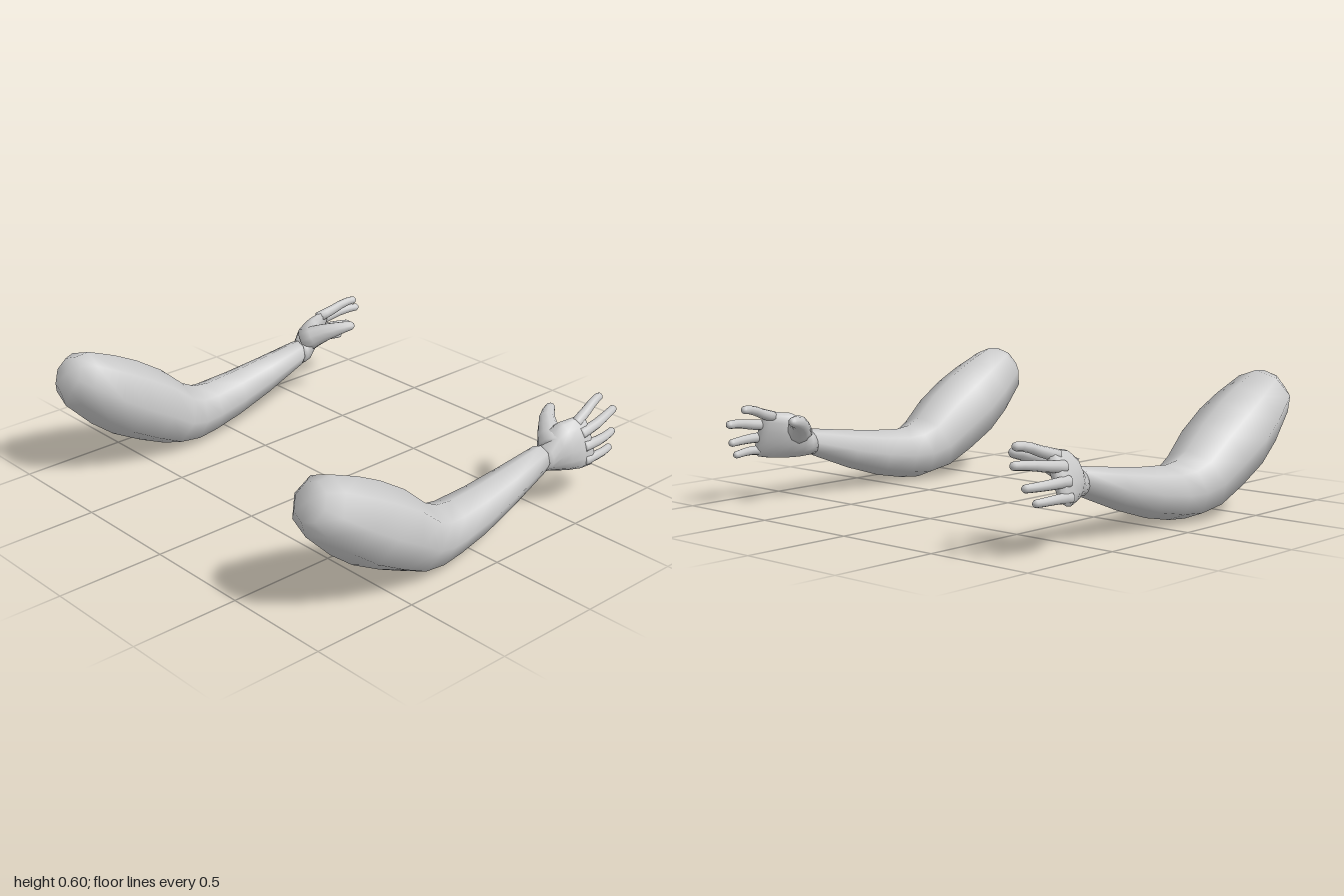
import * as THREE from 'three';

const material = new THREE.MeshStandardMaterial({ color: 0xcccccc });
const V = (x, y, z) => new THREE.Vector3(x, y, z);

// Skin over sections {c, u, v}: ellipses with centre c and half axes u, v.
// start and end are the pole points that close both ends.
function loft(sections, n, start, end, side) {
  const pts = [start];
  for (const { c, u, v } of sections)
    for (let i = 0; i < n; i++) {
      const a = (i / n) * Math.PI * 2;
      pts.push(c.clone().addScaledVector(u, Math.cos(a)).addScaledVector(v, Math.sin(a)));
    }
  pts.push(end);
  const tris = [], last = pts.length - 1, m = sections.length;
  for (let i = 0; i < n; i++) {
    const j = (i + 1) % n;
    tris.push([0, 1 + j, 1 + i]);
    for (let k = 0; k < m - 1; k++) {
      const a = 1 + k * n + i, b = 1 + k * n + j;
      tris.push([a, b, a + n], [b, b + n, a + n]);
    }
    tris.push([last, last - n + i, last - n + j]);
  }
  // Mirror to the chosen side, then turn the faces outwards
  pts.forEach((p) => { p.x *= side; });
  let volume = 0;
  for (const [a, b, c] of tris) volume += pts[a].dot(pts[b].clone().cross(pts[c]));
  if (volume < 0) tris.forEach((t) => t.reverse());
  const geo = new THREE.BufferGeometry().setFromPoints(pts);
  geo.setIndex(tris.flat());
  geo.computeVertexNormals();
  return geo;
}

// Tapered round-tipped digit along a curve
function digit(path, r0, r1, side) {
  const curve = new THREE.CatmullRomCurve3(path.map((p) => V(...p)));
  const length = curve.getLength(), tip = r1 / length;
  const stops = [0, 0.2, 0.4, 0.6, 0.8, 1 - tip, 1 - tip * 0.5, 1 - tip * 0.13].sort((a, b) => a - b);
  const sections = stops.map((t) => {
    const d = curve.getTangentAt(t);
    const over = Math.max(0, (t - 1 + tip) / tip);
    const r = THREE.MathUtils.lerp(r0, r1, t) * Math.sqrt(1 - over * over);
    const u = V(0, 1, 0).addScaledVector(d, -d.y).normalize();
    const v = d.clone().cross(u);
    return { c: curve.getPointAt(t), u: u.multiplyScalar(r), v: v.multiplyScalar(r) };
  });
  return loft(sections, 10, curve.getPointAt(0), curve.getPointAt(1), side);
}

// Arm sections: top z, y, bottom z, y, half width, centre x
const ARM = [
  [0.826, 0.6, 0.914, 0.452, 0.085, 0.812],
  [0.757, 0.605, 0.894, 0.383, 0.142, 0.812],
  [0.62, 0.55, 0.767, 0.255, 0.173, 0.812],
  [0.5, 0.49, 0.65, 0.165, 0.188, 0.812],
  [0.364, 0.403, 0.5, 0.085, 0.182, 0.812],
  [0.246, 0.3, 0.364, 0.025, 0.163, 0.812],
  [0.177, 0.265, 0.236, 0.004, 0.143, 0.812],
  [0.093, 0.255, 0.118, 0.015, 0.128, 0.812],
  [-0.07, 0.267, -0.04, 0.046, 0.11, 0.812],
  [-0.265, 0.29, -0.235, 0.106, 0.088, 0.808],
  [-0.475, 0.318, -0.46, 0.192, 0.062, 0.803],
];

// Palm sections: z, top x, y, bottom x, y, half thickness
const PALM = [
  [-0.465, 0.803, 0.308, 0.805, 0.196, 0.054],
  [-0.495, 0.803, 0.315, 0.812, 0.195, 0.058],
  [-0.535, 0.8, 0.375, 0.838, 0.19, 0.066],
  [-0.58, 0.81, 0.4, 0.868, 0.187, 0.058],
  [-0.635, 0.825, 0.407, 0.9, 0.19, 0.044],
  [-0.685, 0.838, 0.412, 0.918, 0.2, 0.03],
  [-0.705, 0.842, 0.4, 0.915, 0.215, 0.018],
];

// Digits: path points, root radius, tip radius
const DIGITS = {
  indexFinger: [[[0.846, 0.385, -0.65], [0.828, 0.412, -0.74], [0.816, 0.434, -0.8], [0.802, 0.44, -0.865]], 0.026, 0.018],
  middleFinger: [[[0.878, 0.345, -0.65], [0.875, 0.357, -0.75], [0.862, 0.371, -0.84], [0.84, 0.375, -0.92]], 0.026, 0.018],
  ringFinger: [[[0.9, 0.291, -0.65], [0.9, 0.29, -0.75], [0.888, 0.288, -0.82], [0.868, 0.286, -0.885]], 0.025, 0.017],
  littleFinger: [[[0.91, 0.228, -0.65], [0.914, 0.232, -0.74], [0.902, 0.228, -0.8], [0.888, 0.226, -0.845]], 0.023, 0.016],
  thumb: [[[0.815, 0.3, -0.53], [0.765, 0.335, -0.57], [0.712, 0.362, -0.615], [0.675, 0.378, -0.665], [0.648, 0.385, -0.715]], 0.064, 0.019],
};

function buildArm(side) {
  const arm = new THREE.Group();
  arm.name = side > 0 ? 'leftArm' : 'rightArm';
  const add = (name, geo) => {
    const mesh = new THREE.Mesh(geo, material);
    mesh.name = name;
    arm.add(mesh);
  };

  // Upper arm, elbow and forearm in one skin
  const armSections = ARM.map(([tz, ty, bz, by, w, x]) => ({
    c: V(x, (ty + by) / 2, (tz + bz) / 2),
    u: V(0, (ty - by) / 2, (tz - bz) / 2),
    v: V(w, 0, 0),
  }));
  add('armLimb', loft(armSections, 8, V(0.812, 0.533, 0.882), V(0.803, 0.255, -0.475), side));

  // Palm, leaning outwards towards the little finger
  const palmSections = PALM.map(([z, tx, ty, bx, by, w]) => {
    const u = V((tx - bx) / 2, (ty - by) / 2, 0);
    return { c: V((tx + bx) / 2, (ty + by) / 2, z), u, v: V(u.y, -u.x, 0).setLength(w) };
  });
  add('palm', loft(palmSections, 14, V(0.804, 0.252, -0.46), V(0.878, 0.308, -0.71), side));

  // Fingers and thumb
  for (const [name, [path, r0, r1]] of Object.entries(DIGITS)) add(name, digit(path, r0, r1, side));
  return arm;
}

export function createModel() {
  const model = new THREE.Group();
  model.name = 'armPair';
  model.add(buildArm(1), buildArm(-1));
  return model;
}
